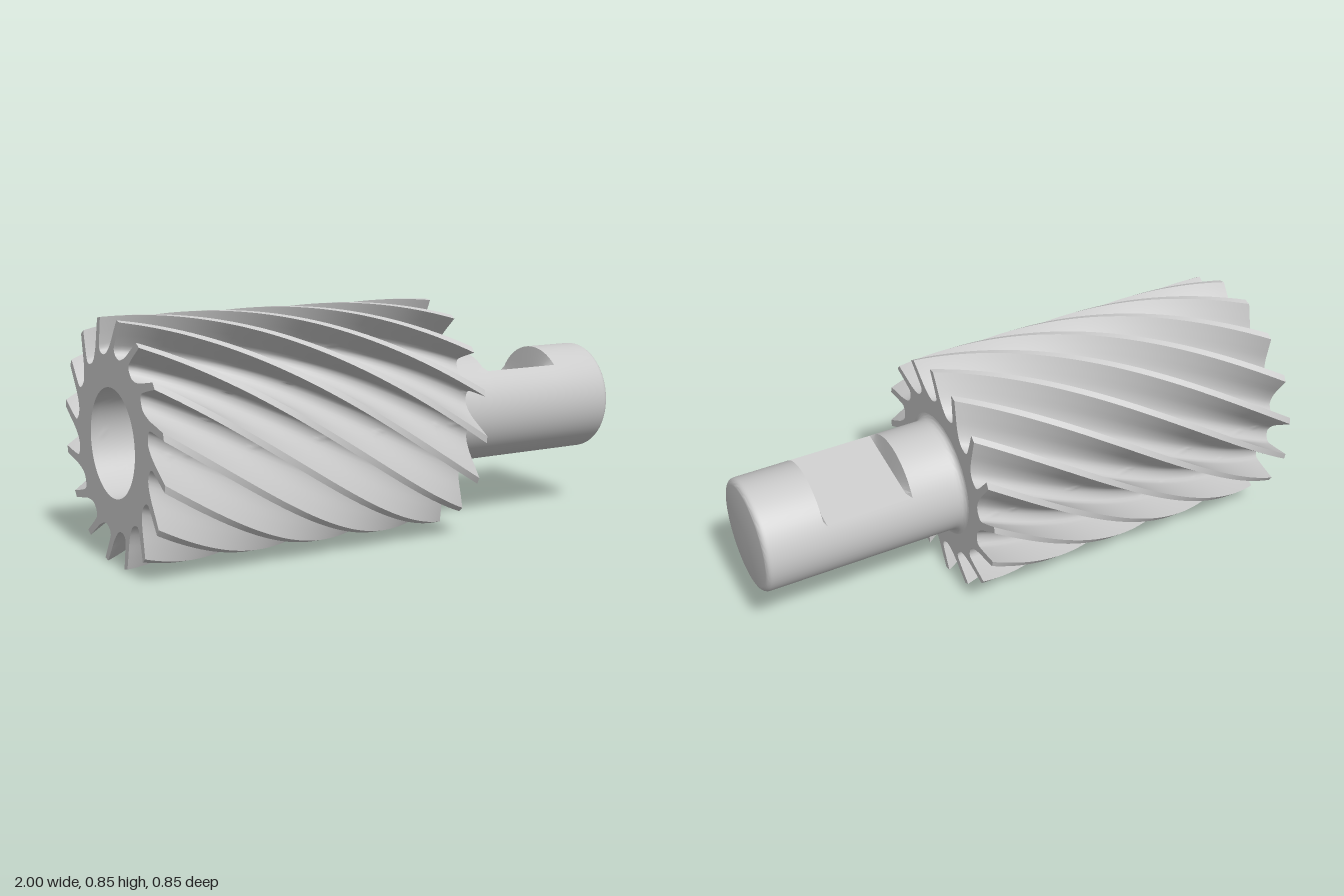
import * as THREE from 'three';
import { toCreasedNormals } from 'three/addons/utils/BufferGeometryUtils.js';

const RAD = Math.PI / 180;
const R = 0.427;            // cutter radius and axis height
const LENGTH = 1.25;        // cutter length
const TEETH = 16;
const TWIST = 108 * RAD;    // helix turn over the cutter length
const polar = (deg, r) => new THREE.Vector2(r * Math.sin(deg * RAD), r * Math.cos(deg * RAD));

// Fluted body: one gullet curve repeated round the rim, extruded and twisted
function cutterGeometry() {
  const gullet = new THREE.SplineCurve([
    [-4.3, R], [-0.6, 0.379], [4.2, 0.333], [11, 0.303], [17, 0.304],
    [20.6, 0.322], [19, 0.353], [16.8, 0.388], [14.7, R],
  ].map(([a, r]) => polar(a, r))).getPoints(20);

  // walk the teeth clockwise, each gullet joined to the next by a narrow land
  const outline = [];
  for (let i = 0; i < TEETH; i++) {
    const turn = -i * 360 / TEETH * RAD;
    for (const p of gullet) outline.push(p.clone().rotateAround(new THREE.Vector2(), turn));
  }
  const shape = new THREE.Shape(outline);
  // the bore runs opposite to the outline so that its wall faces inward
  const bore = new THREE.Path();
  bore.absarc(0, 0, 0.19, 0, Math.PI * 2, false);
  shape.holes.push(bore);

  const geo = new THREE.ExtrudeGeometry(shape, {
    depth: LENGTH, steps: 54, bevelEnabled: false, curveSegments: 32,
  });
  const pos = geo.attributes.position;
  for (let i = 0; i < pos.count; i++) {
    const t = TWIST * (1 - pos.getZ(i) / LENGTH);
    const x = pos.getX(i), y = pos.getY(i);
    pos.setXY(i, x * Math.cos(t) + y * Math.sin(t), y * Math.cos(t) - x * Math.sin(t));
  }
  geo.translate(0, 0, -1);
  return toCreasedNormals(geo, 35 * RAD);
}

// Shank: rings along the axis, cut by a slightly tilted flat between its walls
function shankGeometry() {
  const r = 0.207, flat = 0.123, tilt = 10.4 * RAD;
  const fillet = 0.024, round = 0.022;
  const edge = Math.acos(flat / r);
  const angles = [];
  for (let i = 0; i < 20; i++) angles.push(-edge + 2 * edge * i / 20);
  for (let i = 0; i < 52; i++) angles.push(edge + (2 * Math.PI - 2 * edge) * i / 52);

  // [position along the axis, radius, distance of the flat from the axis]
  const rings = [[0.2, 0], [0.2, r]];
  for (let i = 0; i <= 6; i++) {          // fillet against the cutter face
    const a = i / 6 * Math.PI / 2;
    rings.push([0.25 + fillet * (1 - Math.cos(a)), r + fillet * (1 - Math.sin(a))]);
  }
  rings.push([0.445, r], [0.458, r, flat], [0.765, r, flat], [0.776, r]);
  for (let i = 0; i <= 5; i++) {          // rounded end
    const a = i / 5 * Math.PI / 2;
    rings.push([1 - round * (1 - Math.sin(a)), r - round * (1 - Math.cos(a))]);
  }
  rings.push([1, 0]);

  const n = angles.length, verts = [], index = [];
  for (const [w, radius, cut] of rings) {
    for (const a of angles) {
      const c = Math.cos(a);
      const d = cut && c > 0 ? Math.min(radius, cut / c) : radius;
      verts.push(d * Math.sin(a + tilt), d * Math.cos(a + tilt), w);
    }
  }
  for (let i = 0; i < rings.length - 1; i++) {
    for (let j = 0; j < n; j++) {
      const a = i * n + j, b = i * n + (j + 1) % n;
      if (rings[i][1] > 0) index.push(a, a + n, b);
      if (rings[i + 1][1] > 0) index.push(b, a + n, b + n);
    }
  }
  const geo = new THREE.BufferGeometry();
  geo.setAttribute('position', new THREE.Float32BufferAttribute(verts, 3));
  geo.setIndex(index);
  return toCreasedNormals(geo, 30 * RAD);
}

export function createModel() {
  const material = new THREE.MeshStandardMaterial({ color: 0xcccccc });
  const group = new THREE.Group();
  group.name = 'millingCutter';
  const parts = { flutedCutter: cutterGeometry(), shank: shankGeometry() };
  for (const [name, geo] of Object.entries(parts)) {
    geo.rotateY(Math.PI / 2);             // lay the axis along x
    geo.translate(0, R, 0);
    const mesh = new THREE.Mesh(geo, material);
    mesh.name = name;
    group.add(mesh);
  }
  return group;
}
